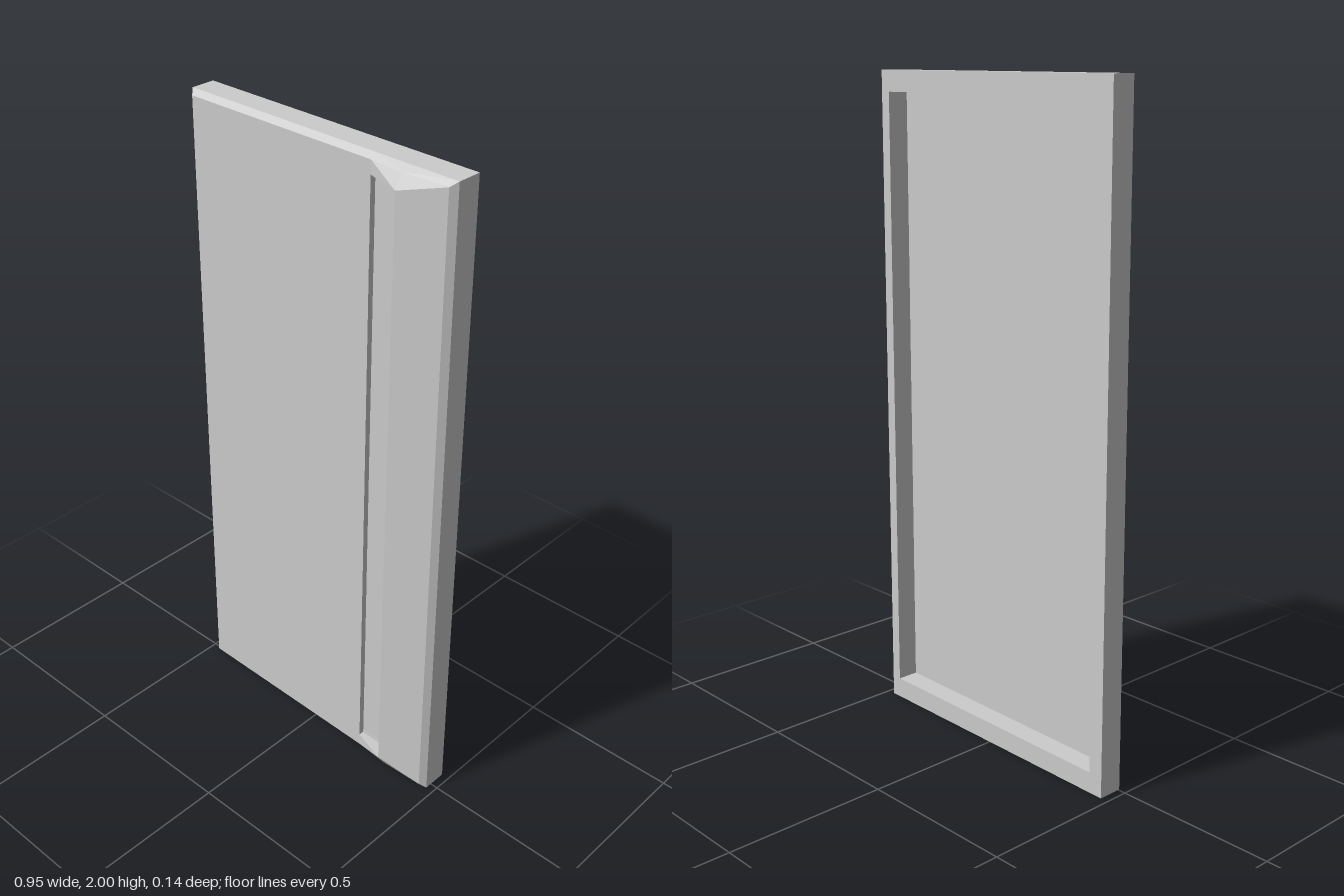
import * as THREE from 'three';

const LEAN = 0.019;   // the door is swung very slightly about its upright axis
const BACK = -0.064, EDGE = 0.0125, FACE = 0.029, RIDGE = 0.062;
const material = new THREE.MeshStandardMaterial({ color: 0xcccccc, flatShading: true });

// Shears a geometry to the lean of the door and wraps it as a named mesh
function part(name, geometry) {
  const p = geometry.attributes.position;
  for (let i = 0; i < p.count; i++) p.setZ(i, p.getZ(i) + LEAN * p.getX(i));
  geometry.computeVertexNormals();
  const mesh = new THREE.Mesh(geometry, material);
  mesh.name = name;
  return mesh;
}

// Builds a faceted surface from four-cornered faces, counter-clockwise
function faces(quads) {
  const pos = [];
  for (const [a, b, c, d] of quads) pos.push(...a, ...b, ...c, ...a, ...c, ...d);
  const g = new THREE.BufferGeometry();
  g.setAttribute('position', new THREE.Float32BufferAttribute(pos, 3));
  return g;
}

function rectangle(target, x0, y0, x1, y1) {
  target.moveTo(x0, y0);
  target.lineTo(x1, y0);
  target.lineTo(x1, y1);
  target.lineTo(x0, y1);
  target.closePath();
  return target;
}

export function createModel() {
  const door = new THREE.Group();
  door.name = 'door';

  // Front skin: bevelled rim, flat panel and a raised ridge beside the grip
  const xs = [-0.475, -0.46, 0.205, 0.315, 0.457, 0.475];
  const ys = [0, 0.015, 0.055, 1.945, 1.985, 2];
  const point = (i, j) => {
    let z = FACE;
    if (i === 0 || i === 5 || j === 0 || j === 5) z = EDGE;
    else if (i === 3) z = j === 2 || j === 3 ? RIDGE : 0.036;
    return [xs[i], ys[j], z];
  };
  const skin = [];
  for (let i = 0; i < 5; i++) {
    for (let j = 0; j < 5; j++) {
      if (i === 2 && j === 2) continue; // opening of the grip
      const q = [point(i, j), point(i + 1, j), point(i + 1, j + 1), point(i, j + 1)];
      // turn the diagonal so the bevel corners are mitred
      if ((i > 2) !== (j > 2)) q.push(q.shift());
      skin.push(q);
    }
  }
  door.add(part('frontPanel', faces(skin)));

  // Grip: a long pocket sunk behind the ridge
  const rim = [point(2, 2), point(3, 2), point(3, 3), point(2, 3)];
  const floor = rim.map(([x, y]) => [x, y, 0.011]);
  const pocket = [floor];
  for (let k = 0; k < 4; k++) {
    const n = (k + 1) % 4;
    pocket.push([rim[k], rim[n], floor[n], floor[k]]);
  }
  door.add(part('gripRecess', faces(pocket)));

  // Surrounding frame, open at the back
  const inner = [-0.428, 0.063, 0.442, 1.937];
  const outline = rectangle(new THREE.Shape(), -0.475, 0, 0.475, 2);
  outline.holes.push(rectangle(new THREE.Path(), ...inner));
  const frame = new THREE.ExtrudeGeometry(outline, { depth: EDGE - BACK, bevelEnabled: false });
  frame.translate(0, 0, BACK);
  door.add(part('frame', frame));

  // Inside face of the panel, seen from behind
  const [x0, y0, x1, y1] = inner;
  const z = BACK + 0.068;
  door.add(part('innerPanel', faces([[[x1, y0, z], [x0, y0, z], [x0, y1, z], [x1, y1, z]]])));

  return door;
}
